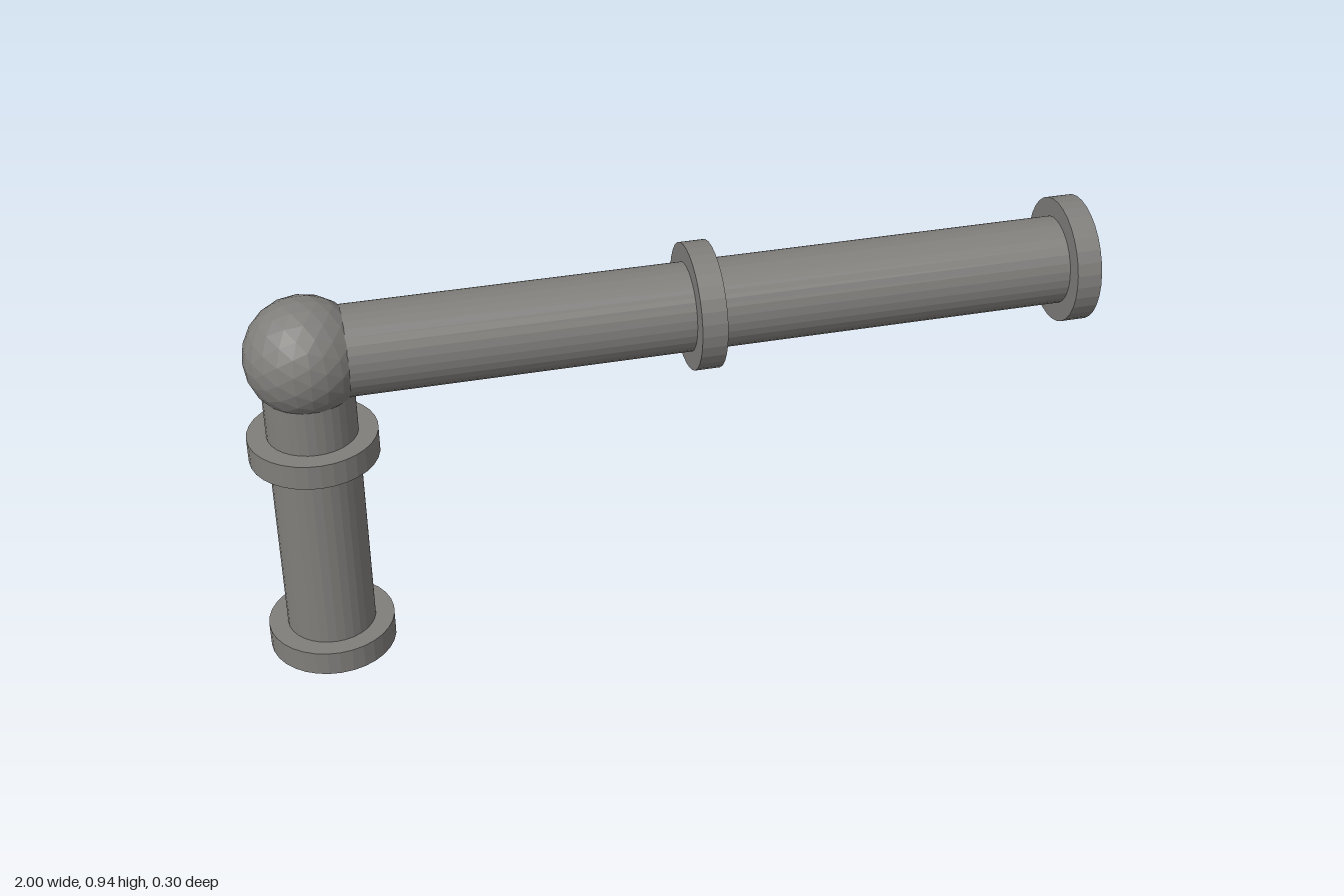
import * as THREE from 'three';

export function createModel() {
  const model = new THREE.Group();
  const metal = new THREE.MeshStandardMaterial({ color: 0x807e7b, flatShading: true });
  metal.name = 'grey metal';

  const PIPE_R = 0.105, FLANGE_R = 0.15, FLANGE_T = 0.06, SIDES = 32;
  const corner = new THREE.Vector3(-0.85, 0.79, 0);

  const add = (name, geometry, x, y) => {
    const mesh = new THREE.Mesh(geometry, metal);
    mesh.name = name;
    mesh.position.set(x, y, 0);
    model.add(mesh);
  };
  // Cylinder from a to b, along y at the corner's x
  const upright = (name, r, a, b) =>
    add(name, new THREE.CylinderGeometry(r, r, b - a, SIDES), corner.x, (a + b) / 2);
  // Cylinder from a to b, along x at the corner's height
  const level = (name, r, a, b) =>
    add(name, new THREE.CylinderGeometry(r, r, b - a, SIDES).rotateZ(-Math.PI / 2), (a + b) / 2, corner.y);

  // Standing pipe with base flange and collar
  upright('verticalPipe', PIPE_R, 0.03, corner.y);
  upright('baseFlange', FLANGE_R, 0, FLANGE_T);
  upright('verticalCollar', FLANGE_R, 0.53, 0.53 + FLANGE_T);

  // Faceted ball joint at the bend
  add('elbowBall', new THREE.IcosahedronGeometry(0.138, 3), corner.x, corner.y);

  // Horizontal pipe with collar and end flange
  level('horizontalPipe', PIPE_R, corner.x, 0.97);
  level('horizontalCollar', FLANGE_R, 0.03, 0.03 + FLANGE_T);
  level('endFlange', FLANGE_R, 1 - FLANGE_T, 1);

  return model;
}
